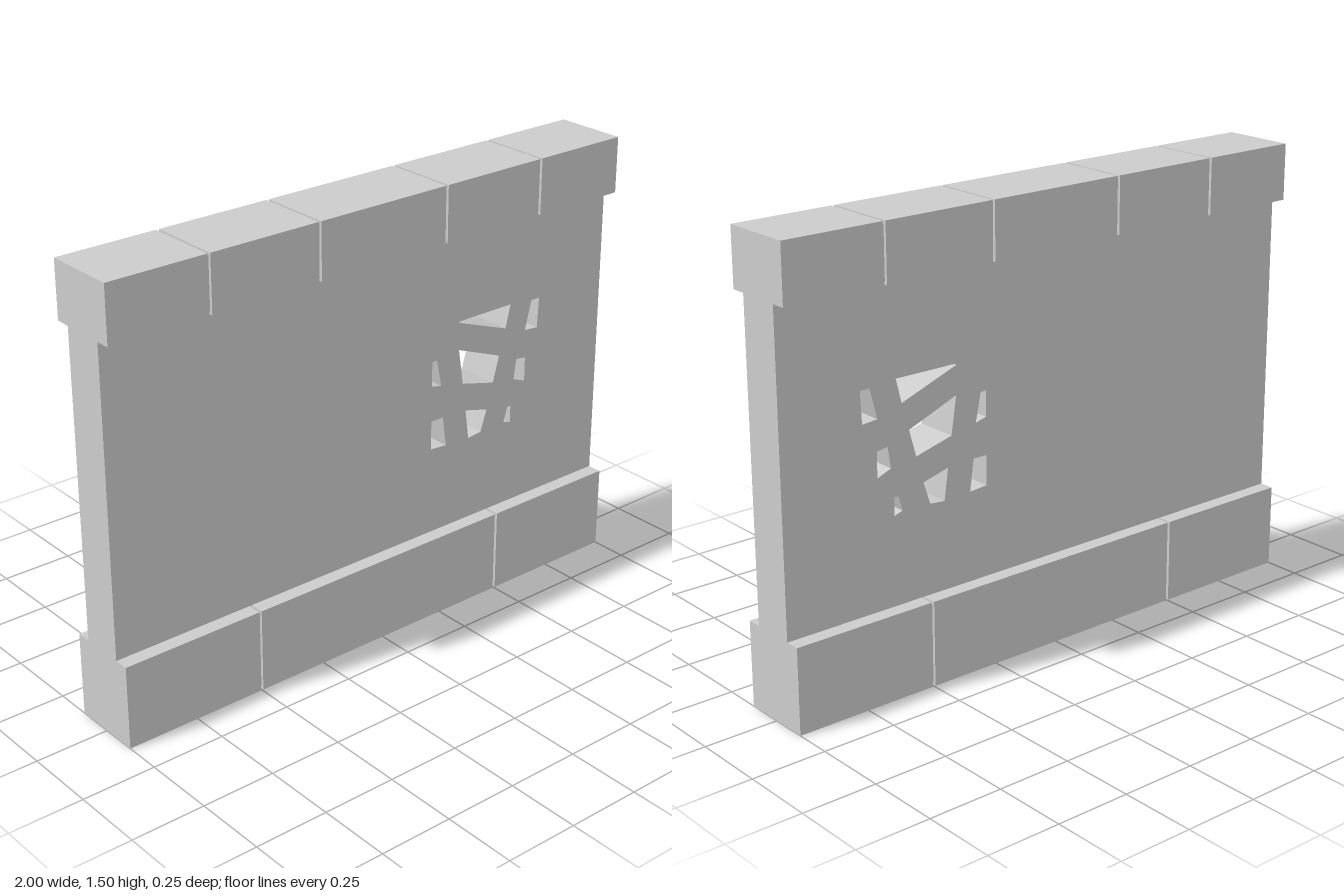
import * as THREE from 'three';

const GAP = 0.01, INSET = 0.01, DEPTH = 0.25;

// Row of blocks split by narrow joints, with a recessed core closing the joints
function blockRow(name, y0, y1, joints, material) {
  const row = new THREE.Group();
  row.name = name;
  const add = (part, x0, x1, inset) => {
    const mesh = new THREE.Mesh(
      new THREE.BoxGeometry(x1 - x0, y1 - y0 - 2 * inset, DEPTH - 2 * inset), material);
    mesh.position.set((x0 + x1) / 2, (y0 + y1) / 2, 0);
    mesh.name = part;
    row.add(mesh);
  };
  const edges = [-1, ...joints, 1];
  for (let i = 0; i < edges.length - 1; i++) {
    const x0 = edges[i] + (i > 0 ? GAP / 2 : 0);
    const x1 = edges[i + 1] - (i < joints.length ? GAP / 2 : 0);
    add(name + 'Block' + (i + 1), x0, x1, 0);
  }
  add(name + 'Core', -1 + INSET, 1 - INSET, INSET);
  return row;
}

export function createModel() {
  const model = new THREE.Group();
  model.name = 'stoneWall';
  const material = new THREE.MeshStandardMaterial({ color: 0xcccccc, flatShading: true });

  // Base and coping stones
  model.add(blockRow('base', 0, 0.285, [-0.5, 0.5], material));
  model.add(blockRow('coping', 1.315, 1.505, [-0.65, -0.25, 0.25, 0.65], material));

  // Wall panel pierced by a cluster of irregular openings
  const toPoints = (pts) => pts.map(([x, y]) => new THREE.Vector2(x, y));
  const outline = new THREE.Shape(toPoints([[-1, 0.285], [1, 0.285], [1, 1.315], [-1, 1.315]]));
  const openings = [
    [[0.36, 1.005], [0.36, 1.01], [0.585, 1.01], [0.565, 0.93]],
    [[0.68, 1.0], [0.715, 1.0], [0.71, 0.895], [0.655, 0.9]],
    [[0.245, 0.9], [0.265, 0.9], [0.285, 0.805], [0.245, 0.815]],
    [[0.36, 0.91], [0.54, 0.84], [0.515, 0.75], [0.38, 0.785]],
    [[0.62, 0.805], [0.66, 0.8], [0.66, 0.715], [0.61, 0.735]],
    [[0.245, 0.69], [0.295, 0.69], [0.31, 0.585], [0.245, 0.59]],
    [[0.395, 0.685], [0.49, 0.66], [0.465, 0.585], [0.41, 0.58]],
    [[0.585, 0.64], [0.6, 0.64], [0.6, 0.58], [0.57, 0.59]],
  ];
  outline.holes = openings.map((pts) => new THREE.Path(toPoints(pts)));
  const panel = new THREE.Mesh(
    new THREE.ExtrudeGeometry(outline, { depth: 0.15, bevelEnabled: false }), material);
  panel.position.z = -0.075;
  panel.name = 'wallPanel';
  model.add(panel);

  return model;
}
